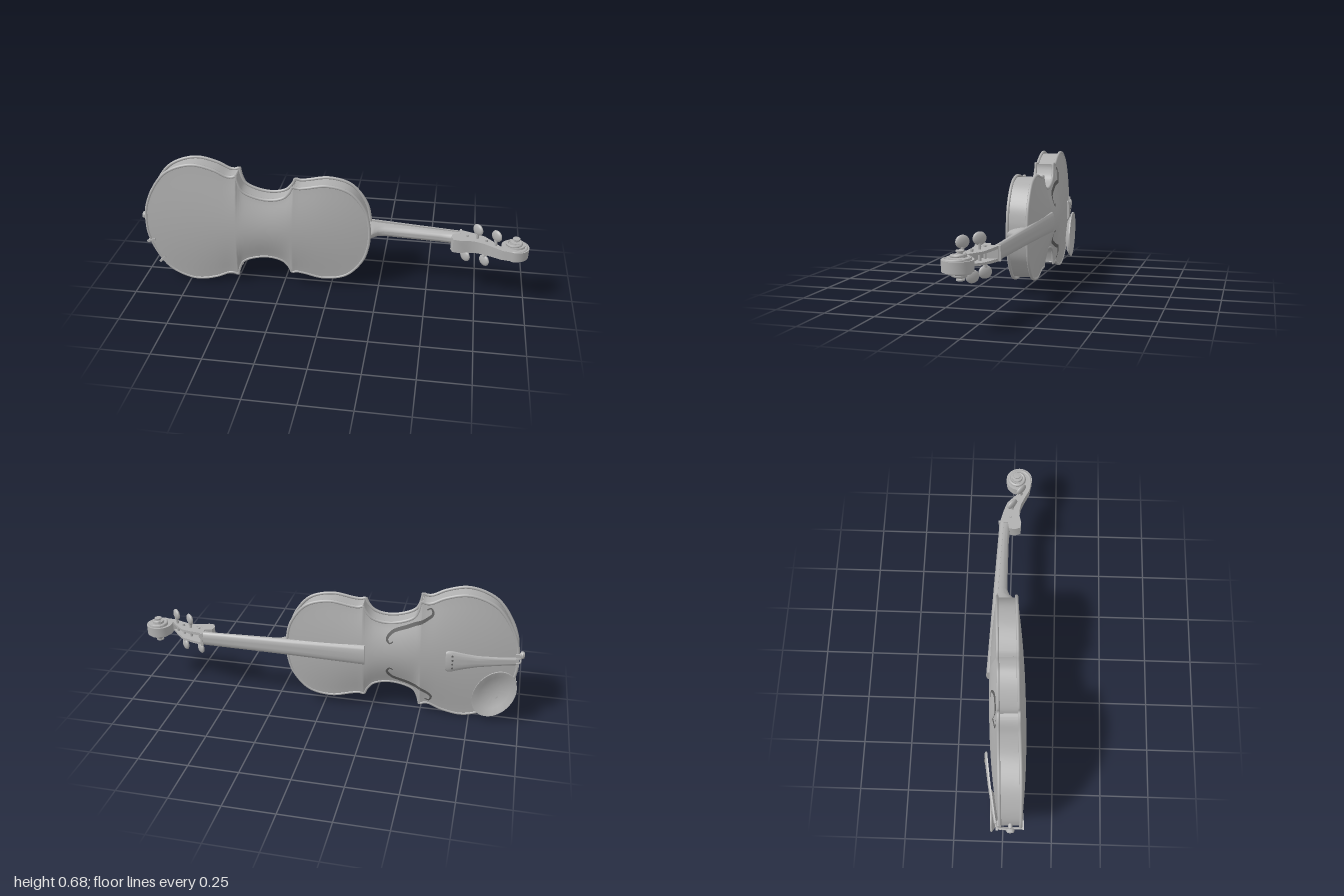
import * as THREE from 'three';
import { toCreasedNormals } from 'three/addons/utils/BufferGeometryUtils.js';

const V3 = (x, y, z) => new THREE.Vector3(x, y, z);
const grey = new THREE.MeshStandardMaterial({ color: 0xb0b0b0, side: THREE.DoubleSide });
grey.name = 'plainGrey';
const dark = new THREE.MeshStandardMaterial({ color: 0x606060, side: THREE.DoubleSide });
dark.name = 'darkOpening';

// Surface through rows of points, optionally capped at both ends
function skin(rows, capped = false, crease = 0.6) {
  const n = rows[0].length, pos = rows.flat().flatMap((p) => [p.x, p.y, p.z]), idx = [];
  for (let i = 0; i < rows.length - 1; i++)
    for (let j = 0; j < n - 1; j++) {
      const a = i * n + j, b = a + n;
      idx.push(a, b, a + 1, a + 1, b, b + 1);
    }
  if (capped) {
    const e = (rows.length - 1) * n;
    for (let j = 1; j < n - 1; j++) idx.push(0, j, j + 1, e, e + j + 1, e + j);
  }
  const g = new THREE.BufferGeometry();
  g.setAttribute('position', new THREE.Float32BufferAttribute(pos, 3));
  g.setIndex(idx);
  return toCreasedNormals(g, crease);
}

// Long bar with one flat and one rounded side; section = [x, halfWidth, flatZ, roundZ, edge]
function bar(sections) {
  return skin(sections.map(([x, h, flat, round, edge = 0]) => {
    const row = [V3(x, h, flat)];
    for (let k = 0; k <= 14; k++) {
      const a = (k / 14) * Math.PI;
      row.push(V3(x, h * Math.cos(a), flat + edge + (round - flat - edge) * Math.sin(a)));
    }
    row.push(V3(x, -h, flat), V3(x, h, flat));
    return row;
  }), true);
}

// Side profile in x and z, extruded across y
function sideProfile(points, width) {
  const s = new THREE.Shape(points.map((p) => new THREE.Vector2(p[0], p[1])));
  const g = new THREE.ExtrudeGeometry(s, { depth: width, bevelEnabled: false });
  return toCreasedNormals(g.translate(0, 0, -width / 2).rotateX(Math.PI / 2), 0.6);
}

// Half outline of the body: lower bout, waist, upper bout
const bouts = [
  [[-.965, 0], [-.96, .07], [-.922, .176], [-.845, .28], [-.717, .331], [-.604, .312], [-.535, .281], [-.508, .28], [-.487, .289]],
  [[-.487, .289], [-.479, .25], [-.457, .205], [-.39, .174], [-.31, .166], [-.245, .185], [-.213, .22], [-.2, .25]],
  [[-.2, .25], [-.175, .243], [-.139, .247], [-.027, .267], [.088, .238], [.168, .143], [.192, .06], [.197, 0]],
];
const half = bouts.flatMap((b, i) => {
  const pts = new THREE.CatmullRomCurve3(b.map((p) => V3(p[0], p[1], 0))).getPoints(34);
  return i ? pts.slice(1) : pts;
});
const ring = [...half, ...half.slice(1, -1).reverse().map((p) => V3(p.x, -p.y, 0))];
const EDGE = 0.05;

function halfWidth(x) {
  const i = Math.max(1, half.findIndex((p) => p.x > x));
  const a = half[i - 1], b = half[i];
  return a.y + (b.y - a.y) * (x - a.x) / (b.x - a.x);
}
function archHeight(x, t, rise) {
  const s = Math.min(1, Math.abs((x + .384) / .581));
  return EDGE + .004 + rise * Math.pow(1 - t * t, 1.25) * (1 - Math.pow(s, 2.3));
}
const topZ = (x, y) => -archHeight(x, Math.min(1, Math.abs(y) / halfWidth(x)), .043);

export function createModel() {
  const model = new THREE.Group();
  model.name = 'violin';
  const add = (name, geo, mat = grey, x = 0, y = 0, z = 0) => {
    const m = new THREE.Mesh(geo, mat);
    m.name = name;
    m.position.set(x, y, z);
    model.add(m);
    return m;
  };

  // Arched plates and their rounded edges
  for (const [name, side, rise] of [['topPlate', -1, .043], ['backPlate', 1, .034]]) {
    add(name, skin(half.map((p) => Array.from({ length: 25 }, (_, j) => {
      const t = j / 12 - 1;
      return V3(p.x, p.y * t, side * archHeight(p.x, t, rise));
    })), false, 1.2));
    const path = new THREE.CatmullRomCurve3(ring.map((p) => V3(p.x, p.y, side * EDGE)), true);
    add(name + 'Edge', new THREE.TubeGeometry(path, 400, .008, 8, true));
  }

  // Ribs, set in from the plate edges
  const wall = ring.map((p, i) => {
    const a = ring[(i + ring.length - 1) % ring.length], b = ring[(i + 1) % ring.length];
    const d = b.clone().sub(a).normalize();
    return V3(p.x + d.y * .008, p.y - d.x * .008, 0);
  });
  wall.push(wall[0]);
  add('ribs', skin([-EDGE, EDGE].map((z) => wall.map((p) => V3(p.x, p.y, z)))));

  // Sound holes as thin ribbons lying on the arch
  const hole = new THREE.CatmullRomCurve3([[-.352, .078], [-.335, .07], [-.322, .09], [-.345, .125], [-.43, .16],
    [-.51, .2], [-.545, .232], [-.535, .258], [-.515, .25]].map((p) => V3(p[0], p[1], 0)));
  for (const s of [1, -1]) {
    const rows = Array.from({ length: 61 }, (_, i) => {
      const u = i / 60, p = hole.getPoint(u), d = hole.getTangent(u);
      const w = .003 + .006 * Math.sin(Math.PI * u) ** 2;
      return [-w, w].map((o) => {
        const x = p.x - d.y * o, y = p.y + d.x * o;
        return V3(x, s * y, topZ(x, y) - .002);
      });
    });
    add('soundHole', skin(rows), dark);
  }

  // Neck with heel, and fingerboard
  add('neck', bar([[.18, .036, -.05, .052], [.205, .036, -.049, .05], [.22, .034, -.047, .034], [.24, .033, -.046, .014],
    [.27, .033, -.043, .004], [.4, .033, -.032, .009], [.55, .032, -.019, .016], [.63, .032, -.012, .024], [.66, .032, -.009, .04]]));
  add('fingerboard', bar([[-.21, .054, -.088, -.111, -.008], [.2, .044, -.049, -.075, -.008], [.655, .036, -.01, -.034, -.008]]));
  add('nut', new THREE.BoxGeometry(.012, .07, .03), grey, .66, 0, -.022);

  // Pegbox: hollowed core running into the scroll, plus two cheeks
  const back = [[.655, .012], [.617, .019], [.61, .05], [.62, .08], [.65, .085], [.69, .077], [.73, .078], [.765, .086], [.8, .103], [.858, .135]];
  const flare = (g) => {
    const p = g.attributes.position;
    for (let i = 0; i < p.count; i++)
      p.setY(i, p.getY(i) * (1 + .4 * THREE.MathUtils.clamp((.87 - p.getX(i)) / .2, 0, 1)));
    g.computeBoundingSphere();
    return g;
  };
  const arc = Array.from({ length: 25 }, (_, i) => {
    const a = 2.0 - (i / 24) * 5.2;
    return [.928 + .069 * Math.cos(a), .08 + .07 * Math.sin(a)];
  });
  add('pegboxCore', flare(sideProfile([...back, ...arc, [.862, .1], [.845, .105], [.8, .08], [.75, .055], [.69, .052],
    [.675, .04], [.67, -.025], [.655, -.03]], .05)));
  const cheek = [...back, [.875, .12], [.853, .093], [.816, .049], [.78, .012], [.725, -.01], [.655, -.03]];
  for (const s of [1, -1]) add('pegboxCheek', flare(sideProfile(cheek, .01).translate(0, s * .0205, 0)));

  // Scroll: stepped core with a spiral ridge winding out to an eye on each side
  const volute = [[.05, .024], [.048, .034], [.03, .036], [.028, .047], [.012, .049], [.012, .055], [.019, .057], [.019, .064], [0, .066]];
  for (const s of [1, -1]) {
    const g = new THREE.LatheGeometry(volute.map((p) => new THREE.Vector2(p[0], p[1] * s)), 28);
    add('scrollEye', toCreasedNormals(g, .6), grey, .93, 0, .068);
    const turn = Array.from({ length: 49 }, (_, i) => {
      const u = i / 48, a = 1.9 - u * 10.5, r = .061 - .044 * u;
      return V3(.928 + r * Math.cos(a), s * (.02 + .028 * u), .08 - .012 * u + r * Math.sin(a));
    });
    add('scrollRidge', new THREE.TubeGeometry(new THREE.CatmullRomCurve3(turn), 120, .008, 8));
  }

  // Tuning pegs, alternating sides
  [[.69, .028, -1], [.74, .038, 1], [.785, .06, -1], [.83, .088, 1]].forEach(([x, z, s]) => {
    add('pegShaft', new THREE.CylinderGeometry(.007, .007, .105, 14), grey, x, s * .012, z);
    add('pegCollar', new THREE.CylinderGeometry(.011, .011, .008, 14), grey, x, s * .055, z);
    add('pegHead', new THREE.SphereGeometry(1, 20, 14).scale(.033, .03, .013).rotateY(-.85), grey, x, s * .08, z);
  });

  // Tailpiece with string holes, tail cord, saddle and end button
  add('tailpiece', bar([[-.955, .02, -.068, -.078, -.003], [-.86, .023, -.08, -.093, -.004], [-.77, .03, -.092, -.106, -.004],
    [-.7, .043, -.099, -.114, -.004], [-.65, .055, -.104, -.12, -.004], [-.625, .056, -.106, -.122, -.004], [-.615, .05, -.107, -.12, -.004]]));
  for (const y of [-.033, -.011, .011, .033]) {
    const z = -.111 - .01 * Math.sqrt(1 - (y / .055) ** 2);
    add('stringHole', new THREE.CylinderGeometry(.005, .005, .004, 12).rotateX(Math.PI / 2), dark, -.648, y, z);
  }
  add('saddle', new THREE.BoxGeometry(.02, .07, .022), grey, -.962, 0, -.055);
  for (const s of [1, -1]) {
    const cord = new THREE.CatmullRomCurve3([V3(-.94, s * .012, -.07), V3(-.972, s * .012, -.066), V3(-.98, s * .01, -.03), V3(-.982, s * .008, 0)]);
    add('tailCord', new THREE.TubeGeometry(cord, 20, .004, 6));
  }
  const button = [[0, -.04], [.01, -.04], [.01, -.012], [.019, -.01], [.02, 0], [.015, .008], [0, .01]];
  add('endButton', toCreasedNormals(new THREE.LatheGeometry(button.map((p) => new THREE.Vector2(...p)), 20).rotateZ(Math.PI / 2), .6), grey, -.99, 0, 0);

  // Chin rest: concave dish along the lower rim, with two clamps
  const dish = [[0, .006], [.35, .009], [.7, .02], [.93, .034], [1, .036], [1, .028], [.8, .012], [.4, 0], [0, -.004]];
  const bowl = new THREE.LatheGeometry(dish.map((p) => new THREE.Vector2(...p)), 48);
  bowl.scale(.138, 1, .098).rotateX(-Math.PI / 2).rotateZ(Math.atan2(-.25, .14));
  add('chinRest', toCreasedNormals(bowl, .6), grey, -.86, -.18, -.062);
  for (const [x, y, a] of [[-.958, -.12, .3], [-.9, -.235, .75]]) {
    add('clampRod', new THREE.CylinderGeometry(.006, .006, .13, 10).rotateX(Math.PI / 2), grey, x, y, 0);
    add('clampFoot', new THREE.BoxGeometry(.045, .012, .008).rotateZ(a), grey, x + .015 * Math.cos(a), y + .015 * Math.sin(a), .064);
    add('clampArm', new THREE.BoxGeometry(.045, .016, .01).rotateZ(a), grey, x + .015 * Math.cos(a), y + .015 * Math.sin(a), -.066);
  }

  // The instrument rests on its side, slightly tilted
  model.position.set(0, .325, -.006);
  model.rotation.set(0, .046, -.028);
  const root = new THREE.Group();
  root.name = 'violinOnItsSide';
  root.add(model);
  return root;
}
